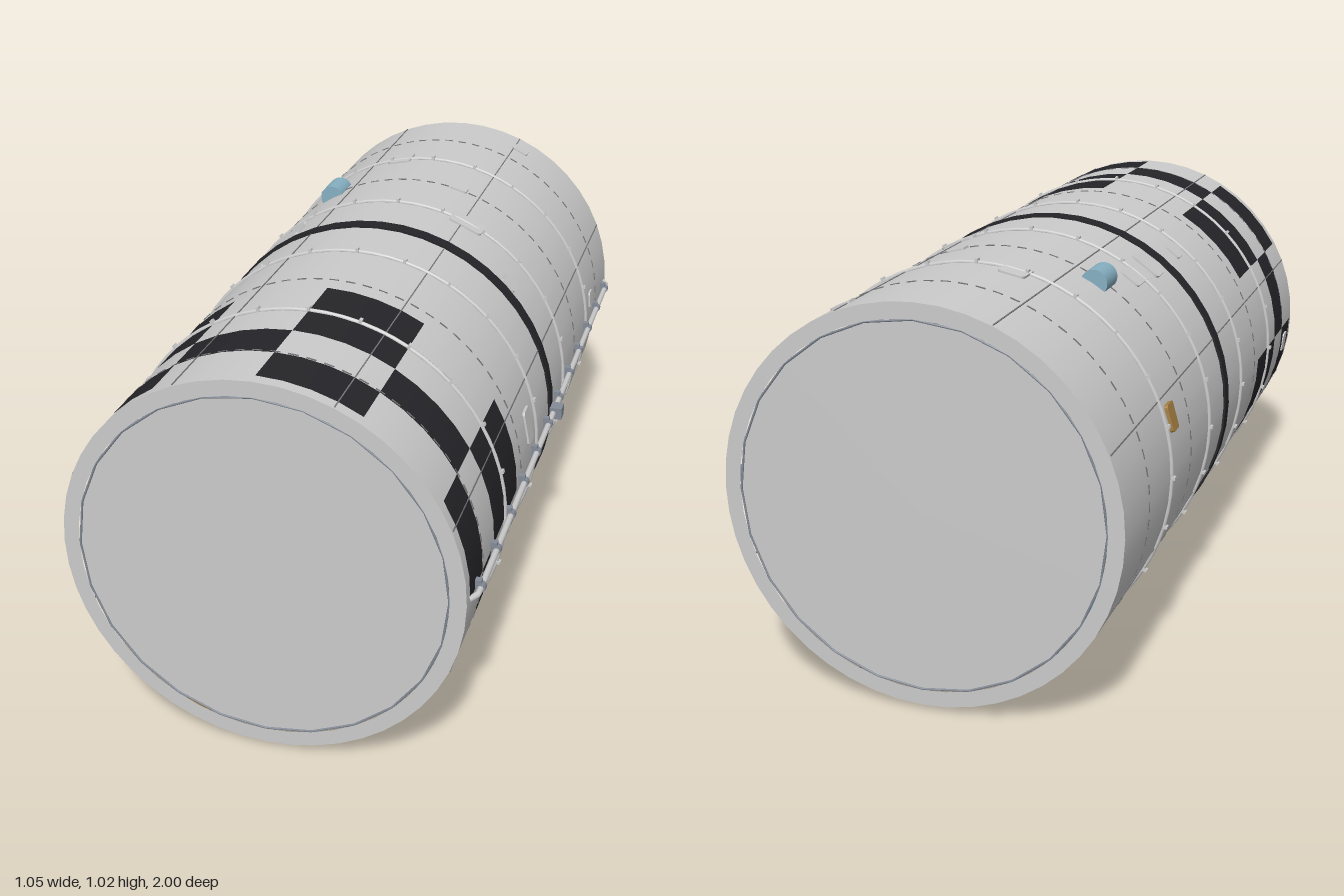
import * as THREE from 'three';
import { mergeGeometries } from 'three/addons/utils/BufferGeometryUtils.js';

const R = 0.5;
const D = Math.PI / 180;

const paint = (color) => new THREE.MeshStandardMaterial({ color });

// Tube section around the z axis, angles in degrees from +x
function band(radius, z0, z1, a0 = 0, a1 = 360, open = true) {
  const segments = Math.max(1, Math.round((a1 - a0) / 7.5));
  const g = new THREE.CylinderGeometry(radius, radius, z1 - z0, segments, 1, open, (a0 + 90) * D, (a1 - a0) * D);
  return g.rotateX(Math.PI / 2).translate(0, 0, (z0 + z1) / 2);
}

// Moves a geometry (local x = outward, y = around, z = along) onto the hull
function onHull(g, angle, z, radius = R) {
  return g.translate(radius, 0, z).rotateZ(angle * D);
}

// Profile of [radius, z] points turned around the z axis
function turned(points, segments = 48) {
  const g = new THREE.LatheGeometry(points.map(([r, z]) => new THREE.Vector2(r, z)), segments);
  return g.rotateX(Math.PI / 2);
}

// Thin raised hatch with rounded corners
function hatch(angle, z, across, along, height = 0.004) {
  const w = across / 2, l = along / 2, c = Math.min(w, l) * 0.35;
  const s = new THREE.Shape();
  s.moveTo(-l + c, -w);
  s.lineTo(l - c, -w);
  s.quadraticCurveTo(l, -w, l, -w + c);
  s.lineTo(l, w - c);
  s.quadraticCurveTo(l, w, l - c, w);
  s.lineTo(-l + c, w);
  s.quadraticCurveTo(-l, w, -l, w - c);
  s.lineTo(-l, -w + c);
  s.quadraticCurveTo(-l, -w, -l + c, -w);
  const g = new THREE.ExtrudeGeometry(s, { depth: 0.01, bevelEnabled: false, curveSegments: 4 });
  g.rotateY(Math.PI / 2).translate(height - 0.01, 0, 0);
  return onHull(g, angle, z);
}

export function createModel() {
  const model = new THREE.Group();
  const hull = new THREE.Group();
  hull.name = 'hull';
  hull.position.set(-0.013, 0.512, 0);
  model.add(hull);

  const grey = paint(0xcccccc), black = paint(0x252529), steel = paint(0x858c98);
  const blue = paint(0x86b0c2), gold = paint(0xa88245), seamGrey = paint(0x77777a);
  const add = (name, geometry, material = grey) => {
    const mesh = new THREE.Mesh(geometry, material);
    mesh.name = name;
    hull.add(mesh);
    return mesh;
  };

  // Main shell
  add('shell', band(R, -1, 1));

  // End rims, end plates and their seal rings
  for (const s of [-1, 1]) {
    const rim = new THREE.RingGeometry(0.46, R, 48);
    const plate = new THREE.CircleGeometry(0.46, 24);
    const seal = new THREE.TorusGeometry(0.459, 0.003, 6, 24);
    for (const g of [rim, plate, seal]) {
      g.translate(0, 0, g === rim ? 1 : 0.997);
      if (s < 0) g.rotateY(Math.PI);
    }
    add('endRim', rim);
    add('endPlate', plate);
    add('sealRing', seal, steel);
  }

  // Checkered band in twelve sectors
  const checks = [];
  for (let k = 0; k < 12; k++) {
    const rows = k % 2 ? [[0.72, 0.845]] : [[0.455, 0.72], [0.845, 0.97]];
    for (const [z0, z1] of rows) checks.push(band(R + 0.001, z0, z1, k * 30, k * 30 + 30));
  }
  add('checkerBand', mergeGeometries(checks), black);

  // Black middle belt
  add('middleBelt', turned([[R, -0.02], [0.506, -0.02], [0.506, -0.02], [0.506, 0.02], [0.506, 0.02], [R, 0.02]]), black);

  // Hoops with bolts every 15 degrees
  const bolts = [];
  for (const z of [-0.6, -0.2, 0.2, 0.6]) {
    add('hoop', new THREE.TorusGeometry(R + 0.001, 0.006, 8, 72).translate(0, 0, z));
    for (let a = 0; a < 360; a += 15) {
      bolts.push(onHull(new THREE.BoxGeometry(0.012, 0.008, 0.014), a, z, 0.506));
    }
  }
  add('hoopBolts', mergeGeometries(bolts));

  // Lengthwise seams and dashed stitch rows
  const seams = [];
  for (let k = 0; k < 8; k++) {
    seams.push(onHull(new THREE.BoxGeometry(0.004, 0.003, 1.99), 22.5 + 45 * k, 0));
  }
  for (const z of [-0.8, -0.4, 0.4, 0.84]) {
    for (let a = 0; a < 360; a += 5) {
      seams.push(onHull(new THREE.BoxGeometry(0.004, 0.024, 0.003), a, z, R - 0.0005));
    }
  }
  add('seams', mergeGeometries(seams), seamGrey);

  // Hatches: angle, z, size around, size along
  const hatches = [
    [11, 0.28, 0.095, 0.055], [-13, -0.47, 0.095, 0.12], [-11, -0.69, 0.09, 0.13],
    [6, -0.7, 0.05, 0.045], [44, -0.06, 0.05, 0.045], [-38, 0.22, 0.11, 0.08],
    [-38, -0.1, 0.1, 0.07], [-65, -0.07, 0.1, 0.06], [-55, -0.67, 0.05, 0.04],
    [102, -0.61, 0.07, 0.08], [75, -0.41, 0.05, 0.04], [126, -0.22, 0.06, 0.11],
    [126, -0.09, 0.09, 0.07], [128, 0.13, 0.05, 0.04], [65, -0.91, 0.055, 0.04],
    [66, -0.2, 0.1, 0.07], [187, 0.9, 0.06, 0.05],
  ];
  add('hatches', mergeGeometries(hatches.map((h) => hatch(...h))));

  // Gold sensor plates
  for (const [a, z] of [[164, -0.545], [268, 0.43], [247, 0.93]]) {
    add('goldPlate', hatch(a, z, 0.07, 0.05, 0.008), gold);
  }

  // Blue pods above and below on the right side
  for (const s of [-1, 1]) {
    const pod = new THREE.CylinderGeometry(0.035, 0.035, 0.09, 24).rotateX(Math.PI / 2);
    add('pod', pod.translate(-0.252, s * 0.433, -0.405), blue);
  }

  // Handrail on the left side, ends bent into the hull
  const path = new THREE.CurvePath();
  const points = [[0.497, -0.975], [0.514, -0.945], [0.514, 0.945], [0.497, 0.975]]
    .map(([x, z]) => new THREE.Vector3(x, 0.002, z));
  for (let i = 0; i < 3; i++) path.add(new THREE.LineCurve3(points[i], points[i + 1]));
  add('handrail', new THREE.TubeGeometry(path, 64, 0.008, 10));

  // Rail clamps
  const clamps = [];
  for (let i = 0; i < 12; i++) {
    const z = -0.913 + i * 0.166;
    clamps.push(new THREE.BoxGeometry(0.026, 0.04, 0.016).translate(0.502, 0.002, z));
    clamps.push(new THREE.CylinderGeometry(0.011, 0.011, 0.02, 10).rotateX(Math.PI / 2).translate(0.514, 0.002, z));
  }
  add('railClamps', mergeGeometries(clamps), steel);

  // Junction box where the rail crosses the belt
  add('junctionBox', new THREE.BoxGeometry(0.034, 0.034, 0.04).translate(0.521, 0.002, 0), steel);

  return model;
}
